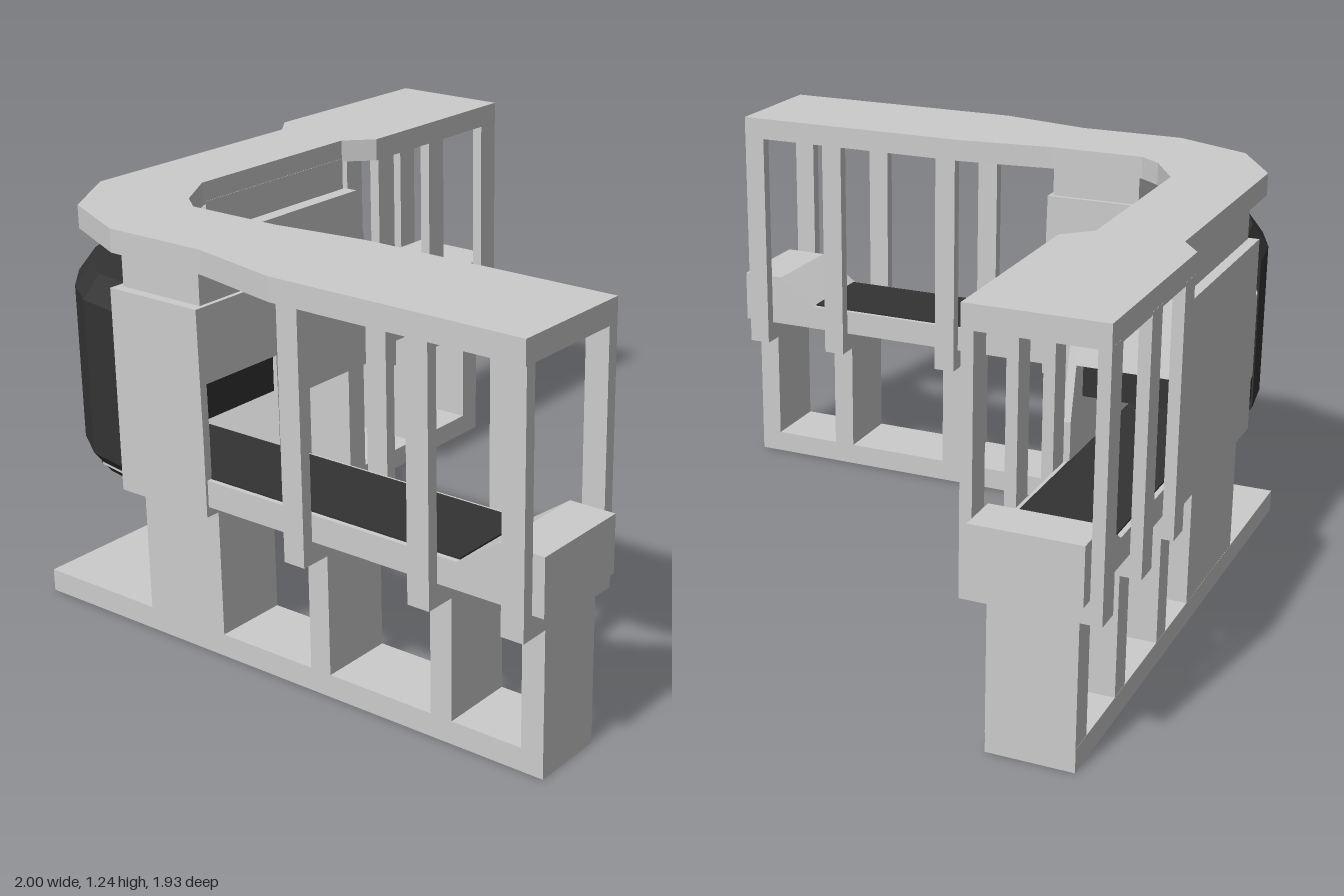
import * as THREE from 'three';

const grey = new THREE.MeshStandardMaterial({ color: 0xcccccc, flatShading: true });
const dark = new THREE.MeshStandardMaterial({ color: 0x333333, flatShading: true });
const darkTwoSided = new THREE.MeshStandardMaterial({ color: 0x333333, flatShading: true, side: THREE.DoubleSide });
const greyTwoSided = new THREE.MeshStandardMaterial({ color: 0xcccccc, flatShading: true, side: THREE.DoubleSide });

function add(group, name, geometry, material = grey) {
  const mesh = new THREE.Mesh(geometry, material);
  mesh.name = name;
  group.add(mesh);
  return mesh;
}

// Box given by its limits on each axis
function box(group, name, [x0, x1], [y0, y1], [z0, z1], material) {
  const g = new THREE.BoxGeometry(x1 - x0, y1 - y0, z1 - z0);
  g.translate((x0 + x1) / 2, (y0 + y1) / 2, (z0 + z1) / 2);
  return add(group, name, g, material);
}

const shapeOf = (pts) => new THREE.Shape(pts.map(([a, b]) => new THREE.Vector2(a, b)));
const extrude = (shape, depth) => new THREE.ExtrudeGeometry(shape, { depth, bevelEnabled: false });

// Horizontal slab from an outline of [x, z] points
function slab(group, name, outline, y0, y1) {
  const g = extrude(shapeOf(outline.map(([x, z]) => [x, -z])), y1 - y0);
  g.rotateX(-Math.PI / 2).translate(0, y0, 0);
  return add(group, name, g);
}

// Loft a closed section of [t, y] around the bend; t = 0 inner rail, 1 outer rail
const outerRail = [[-0.965, -0.5], [-0.94, -0.64], [-0.86, -0.76], [-0.75, -0.86], [-0.6, -0.92], [-0.43, -0.945]];
const innerRail = [[-0.625, -0.5], [-0.61, -0.53], [-0.58, -0.555], [-0.54, -0.575], [-0.49, -0.595], [-0.43, -0.61]];
function bend(group, name, section, material) {
  const pos = [], index = [], n = section.length;
  outerRail.forEach((o, i) => {
    const p = innerRail[i];
    for (const [t, y] of section) pos.push(p[0] + (o[0] - p[0]) * t, y, p[1] + (o[1] - p[1]) * t);
  });
  for (let i = 0; i < outerRail.length - 1; i++) {
    for (let j = 0; j < n; j++) {
      const a = i * n + j, b = i * n + (j + 1) % n;
      index.push(a, b, a + n, b, b + n, a + n);
    }
  }
  const g = new THREE.BufferGeometry();
  g.setAttribute('position', new THREE.Float32BufferAttribute(pos, 3));
  g.setIndex(index);
  const flat = g.toNonIndexed();
  flat.computeVertexNormals();
  return add(group, name, flat, material);
}

// One straight run along local +x, centred on local z = 0
function makeArm(o) {
  const arm = new THREE.Group();
  arm.name = o.name;
  const across = (w) => [-w / 2, w / 2];
  const pillar = [o.pillarZ - o.pillarW / 2, o.pillarZ + o.pillarW / 2];

  // Lower supports
  for (const u of o.lower) box(arm, 'lowerPillar', [u - o.post / 2, u + o.post / 2], [0.06, 0.47], pillar);
  box(arm, 'mainPillar', o.mainPillar, [0.06, 0.48], pillar);

  // Open frames: a crossbar and two posts each
  for (const u of o.upper) {
    const span = [u - o.post / 2, u + o.post / 2];
    box(arm, 'frameCrossbar', span, [0.435, 0.5], across(0.395));
    for (const s of [-1, 1]) {
      const z = s * 0.18;
      box(arm, 'framePost', span, [0.435, 1.18], [z - 0.0175, z + 0.0175]);
    }
  }

  // Conveyor bed with a raised, ramped end
  const e = o.conveyorEnd, c = o.casing[0];
  const bed = extrude(shapeOf([[c, 0.5], [e, 0.5], [e, 0.67], [e - 0.14, 0.67], [e - 0.27, 0.58], [c, 0.58]]), 0.32);
  bed.translate(0, 0, -0.16);
  add(arm, 'conveyorBed', bed);
  box(arm, 'conveyorBelt', [c, e - 0.27], [0.57, 0.585], across(0.29), dark);

  // Hollow tunnel casing, its mouth leaning back above y = 0.7
  const ring = (w, y0, y1) => [[-w, y0], [w, y0], [w, 0.7], [w, y1], [-w, y1], [-w, 0.7]];
  const shape = shapeOf(ring(0.168, 0.47, 1.08));
  shape.holes.push(new THREE.Path(ring(0.143, 0.5, 0.86).map(([a, b]) => new THREE.Vector2(a, b))));
  const tunnel = extrude(shape, 1);
  const p = tunnel.attributes.position;
  for (let i = 0; i < p.count; i++) {
    const z = p.getX(i), y = p.getY(i), atMouth = p.getZ(i) > 0.5;
    const lean = o.lean * Math.max(0, (y - 0.7) / 0.38);
    p.setXYZ(i, atMouth ? o.casing[1] - lean : c, y, -z);
  }
  tunnel.computeVertexNormals();
  add(arm, 'tunnelCasing', tunnel, greyTwoSided);
  const mouth = o.casing[1] - o.lean;
  box(arm, 'mouthCurtain', [mouth - 0.03, mouth - 0.01], [0.75, 0.87], across(0.288), dark);
  box(arm, 'roofNeck', o.neck, [1.07, 1.18], [-0.008 - o.neckW / 2, -0.008 + o.neckW / 2]);
  return arm;
}

export function createModel() {
  const model = new THREE.Group();
  model.name = 'cornerConveyorTunnel';

  // Base and roof
  slab(model, 'base', [[-0.9, 0.925], [-0.67, 0.925], [-0.67, -0.65], [0.96, -0.65], [0.96, -0.905], [-0.9, -0.905]], 0, 0.07);
  slab(model, 'roof', [
    [-1, 0.925], [-0.6, 0.925], [-0.6, 0.12], [-0.635, -0.18], [-0.635, -0.49], [-0.58, -0.56],
    [-0.43, -0.65], [0.22, -0.65], [0.3, -0.57], [0.96, -0.57], [0.96, -0.965], [0.3, -0.965],
    [0.22, -0.905], [-0.6, -0.905], [-0.82, -0.77], [-0.935, -0.52], [-0.935, -0.18], [-1, 0.12],
  ], 1.17, 1.24);

  // Rear run
  const rear = makeArm({
    name: 'rearArm', post: 0.08, lower: [0.27, 0.62, 0.92], upper: [0.35, 0.62, 0.92],
    mainPillar: [-0.42, 0.03], pillarZ: -0.009, pillarW: 0.255, conveyorEnd: 1,
    casing: [-0.43, 0.31], lean: 0.08, neck: [-0.42, 0.22], neckW: 0.255,
  });
  rear.position.z = -0.768;
  model.add(rear);

  // Side run, turned to point forward
  const side = makeArm({
    name: 'sideArm', post: 0.07, lower: [0.175, 0.595, 0.89], upper: [0.175, 0.595, 0.89],
    mainPillar: [-0.48, -0.19], pillarZ: -0.013, pillarW: 0.23, conveyorEnd: 0.96,
    casing: [-0.5, -0.17], lean: 0.006, neck: [-0.48, -0.19], neckW: 0.29,
  });
  side.rotation.y = -Math.PI / 2;
  side.position.x = -0.798;
  model.add(side);

  // Curved corner: dark hood, bed and belt inside it
  bend(model, 'cornerHoodOuter', [[0, 0.47], [0.85, 0.47], [1, 0.54], [1, 1.01], [0.85, 1.08], [0, 1.08]], darkTwoSided);
  bend(model, 'cornerHoodLining', [[0.07, 0.5], [0.93, 0.5], [0.93, 0.86], [0.07, 0.86]], greyTwoSided);
  bend(model, 'cornerBelt', [[0.07, 0.5], [0.93, 0.5], [0.93, 0.585], [0.07, 0.585]], darkTwoSided);
  return model;
}
